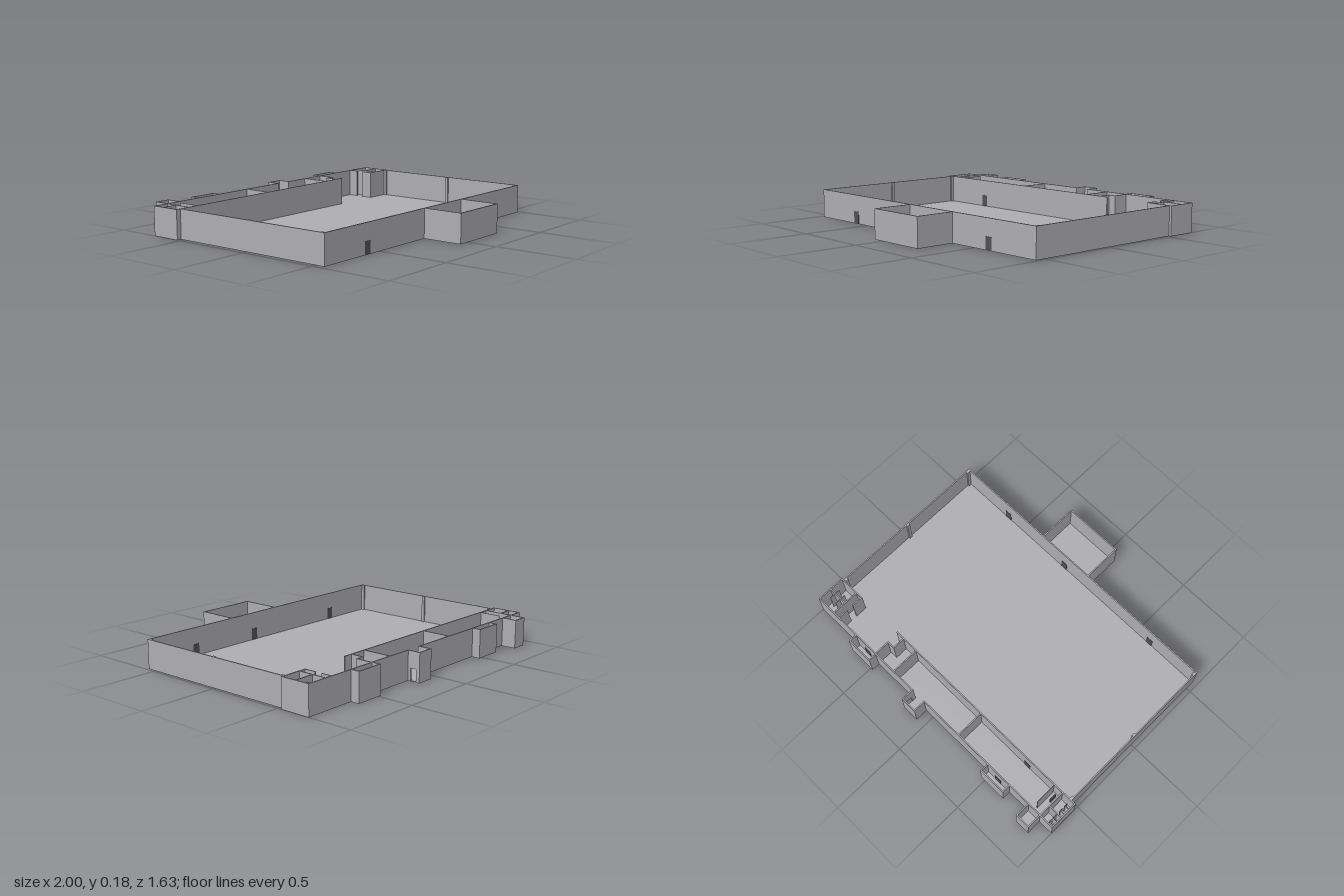
import * as THREE from 'three';

const H = 0.18;      // wall height
const T = 0.008;     // wall thickness
const FLOOR = 0.004; // slab thickness

export function createModel() {
  const model = new THREE.Group();
  model.name = 'buildingFloor';
  const plaster = new THREE.MeshStandardMaterial({ color: 0xaeaeb1 });
  plaster.name = 'greyPlaster';
  const dark = new THREE.MeshStandardMaterial({ color: 0x505052 });
  dark.name = 'darkDoor';

  // Axis-aligned box given by its limits
  function block(name, x0, x1, y0, y1, z0, z1, material = plaster) {
    const mesh = new THREE.Mesh(new THREE.BoxGeometry(x1 - x0, y1 - y0, z1 - z0), material);
    mesh.position.set((x0 + x1) / 2, (y0 + y1) / 2, (z0 + z1) / 2);
    mesh.name = name;
    model.add(mesh);
  }
  // Wall along a straight centre line, overlapping its neighbours at the ends
  function wall(name, x0, z0, x1, z1, y1 = H, y0 = 0, t = T) {
    block(name, Math.min(x0, x1) - t / 2, Math.max(x0, x1) + t / 2, y0, y1,
      Math.min(z0, z1) - t / 2, Math.max(z0, z1) + t / 2);
  }
  function walls(name, points) {
    for (let i = 1; i < points.length; i++) wall(name, ...points[i - 1], ...points[i]);
  }

  // Main hall
  const L = -0.966, R = 0.981, F = 0.556, M = -0.53, B = -0.716, E = 0.996;
  block('hallFloor', L, R, 0, FLOOR, M, F);
  walls('hallWall', [[L, M], [L, F], [R, F], [R, M]]);
  wall('hallBackWall', -E, M, 0.495, M);
  wall('hallBackWall', 0.819, M, E, M);

  // Small pilasters on the hall side walls
  for (const z of [-0.515, 0.01, 0.54]) {
    block('pilaster', L, L + 0.014, 0, H, z - 0.01, z + 0.01);
    block('pilaster', R - 0.014, R, 0, H, z - 0.01, z + 0.01);
  }

  // Service strip behind the hall
  block('stripFloor', -E, E, 0, FLOOR, B, M);
  wall('stripEndWall', -E, B, -E, M);
  wall('stripEndWall', E, B, E, M);
  wall('stripBackWall', -E, B, 0.064, B);
  wall('stripBackWall', 0.166, B, E, B);
  for (const x of [-0.9, -0.228, 0.33, 0.865]) wall('stripPartition', x, B, x, M);
  walls('steppedPartition', [[0.44, M], [0.44, -0.612], [0.49, -0.612], [0.49, B]]);
  wall('lobbyPartition', 0.819, B, 0.819, -0.652);
  wall('lobbyPartition', 0.819, -0.6, 0.819, M);
  wall('closetPartition', -0.835, -0.67, -0.835, -0.54, H, 0, 0.005);

  // Washrooms at both ends with stall dividers
  wall('washroomWall', -E, -0.64, -0.9, -0.64);
  wall('washroomWall', 0.865, -0.625, E, -0.625);
  for (const z of [-0.7, -0.67, -0.61, -0.57]) wall('stallDivider', -E, z, -0.96, z, 0.15, 0, 0.004);
  for (const z of [-0.695, -0.655, -0.605, -0.565]) wall('stallFront', -0.96, z - 0.01, -0.96, z + 0.01, 0.15, 0, 0.004);
  for (const x of [0.915, 0.965]) wall('stallDivider', x, -0.66, x, -0.59, 0.15, 0, 0.004);

  // Rooms that project from the outer walls: x0, x1, inner z, outer z
  const annexes = [
    ['rearCloset', -0.898, -0.806, B, -0.811],
    ['rearBay', -0.651, -0.474, B, -0.77],
    ['rearBay', 0.487, 0.662, B, -0.77],
    ['frontRoom', -0.07, 0.314, F, 0.808],
  ];
  for (const [name, x0, x1, zi, zo] of annexes) {
    block(name + 'Floor', x0, x1, 0, FLOOR, Math.min(zi, zo), Math.max(zi, zo));
    walls(name + 'Wall', [[x0, zi], [x0, zo], [x1, zo], [x1, zi]]);
  }

  // Rear porch, open to the strip, with a doorway in one side
  block('porchFloor', 0.064, 0.166, 0, FLOOR, -0.796, B);
  walls('porchWall', [[0.064, B], [0.064, -0.796], [0.166, -0.796]]);
  wall('porchJamb', 0.166, -0.796, 0.166, -0.781);
  wall('porchJamb', 0.166, -0.735, 0.166, B);
  wall('porchLintel', 0.166, -0.781, 0.166, -0.735, H, 0.078);

  // Doors standing just proud of their walls
  for (const [x, z] of [[-0.608, F], [0.62, F], [0.122, F], [-0.62, M], [-0.56, B], [0.575, B]]) {
    block('door', x - 0.023, x + 0.023, 0.003, 0.077, z - 0.006, z + 0.006, dark);
  }
  block('closetDoor', -0.87, -0.862, 0.003, 0.077, -0.595, -0.55, dark);

  return model;
}
